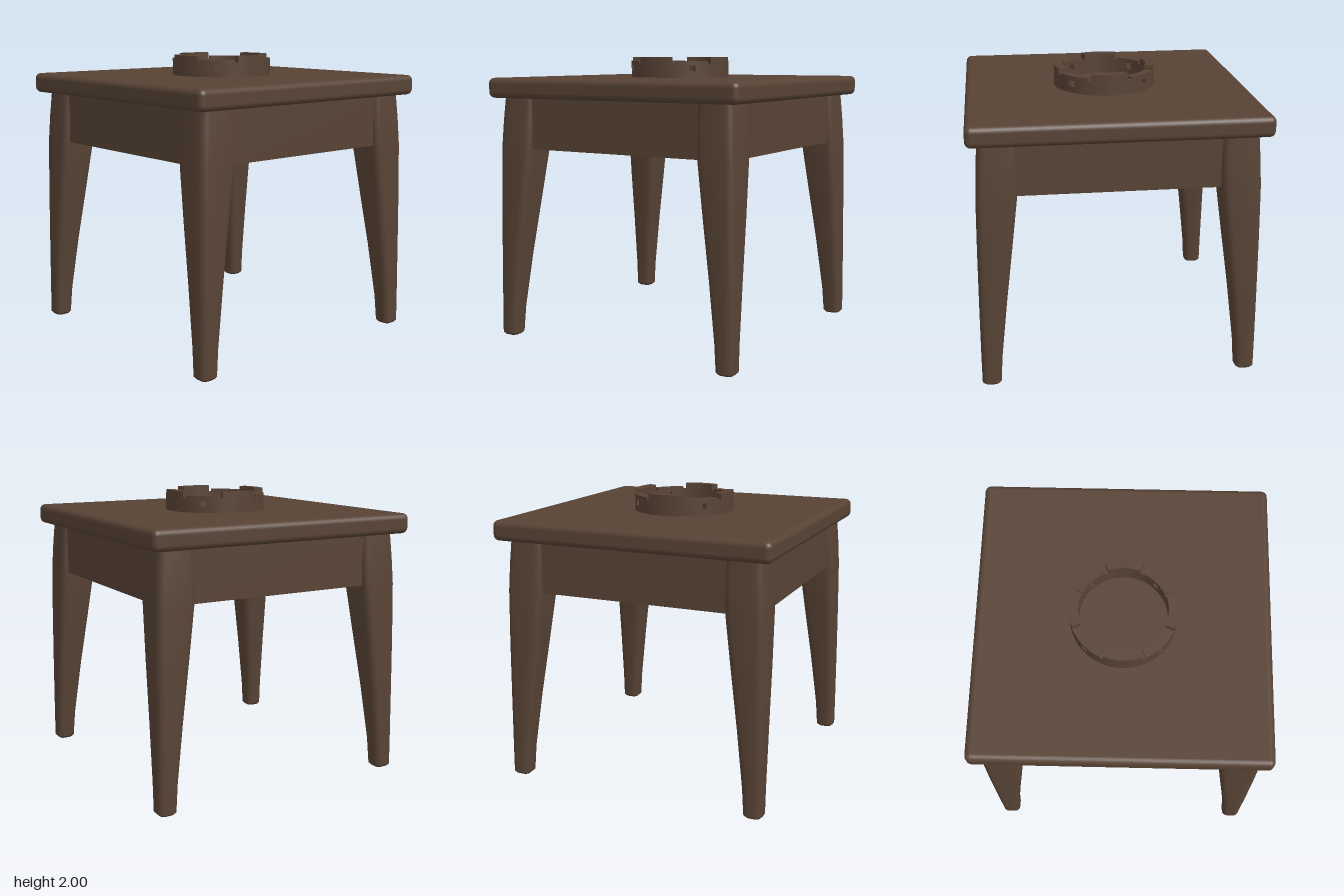
import * as THREE from 'three';
import { toCreasedNormals } from 'three/addons/utils/BufferGeometryUtils.js';
import { RoundedBoxGeometry } from 'three/addons/geometries/RoundedBoxGeometry.js';

const wood = new THREE.MeshStandardMaterial({ color: 0x584335 });
wood.name = 'darkWood';

function addMesh(parent, name, geometry, x = 0, y = 0, z = 0) {
  const mesh = new THREE.Mesh(geometry, wood);
  mesh.name = name;
  mesh.position.set(x, y, z);
  parent.add(mesh);
  return mesh;
}

// Tapered leg lofted from rounded squares: [height, inner edge, outer edge, corner radius]
function legGeometry() {
  const levels = [
    [0, 0.835, 0.935, 0.03], [0.015, 0.82, 0.95, 0.04], [0.2, 0.807, 0.95, 0.045],
    [0.6, 0.762, 0.947, 0.05], [1.0, 0.712, 0.942, 0.05], [1.36, 0.668, 0.935, 0.05],
    [1.55, 0.66, 0.924, 0.05], [1.73, 0.66, 0.91, 0.05],
  ];
  const steps = 4, count = 4 * (steps + 1);
  const positions = [], index = [];
  for (const [y, inner, outer, r] of levels) {
    const mid = (inner + outer) / 2, half = (outer - inner) / 2 - r;
    for (let corner = 0; corner < 4; corner++) {
      const base = corner * Math.PI / 2;
      const sx = Math.sign(Math.cos(base + Math.PI / 4));
      const sz = -Math.sign(Math.sin(base + Math.PI / 4));
      for (let k = 0; k <= steps; k++) {
        const a = base + (k / steps) * Math.PI / 2;
        positions.push(mid + sx * half + r * Math.cos(a), y, mid + sz * half - r * Math.sin(a));
      }
    }
  }
  for (let l = 0; l < levels.length - 1; l++) {
    for (let i = 0; i < count; i++) {
      const j = (i + 1) % count;
      const a = l * count + i, b = l * count + j;
      index.push(a, b, b + count, a, b + count, a + count);
    }
  }
  // Sole
  for (let i = 1; i < count - 1; i++) index.push(0, i + 1, i);
  const geometry = new THREE.BufferGeometry();
  geometry.setAttribute('position', new THREE.Float32BufferAttribute(positions, 3));
  geometry.setIndex(index);
  return toCreasedNormals(geometry, 0.6);
}

// Curved block of the ring between two angles (degrees) and two heights
function arcBlock(from, to, bottom, top, inner = 0.295, outer = 0.355) {
  const a = THREE.MathUtils.degToRad(from), b = THREE.MathUtils.degToRad(to);
  const shape = new THREE.Shape();
  shape.absarc(0, 0, outer, a, b, false);
  shape.absarc(0, 0, inner, b, a, true);
  shape.closePath();
  const geometry = new THREE.ExtrudeGeometry(shape, {
    depth: top - bottom, bevelEnabled: false, curveSegments: Math.max(2, Math.ceil((to - from) / 5)),
  });
  geometry.rotateX(-Math.PI / 2);
  geometry.translate(0, bottom, 0);
  return toCreasedNormals(geometry, 0.6);
}

export function createModel() {
  const model = new THREE.Group();
  model.name = 'sideTable';

  // Top
  addMesh(model, 'tableTop', new RoundedBoxGeometry(1.985, 0.14, 1.975, 4, 0.04), 0, 1.785, -0.003);

  // Legs and the aprons between them
  const leg = legGeometry();
  const apron = new THREE.BoxGeometry(1.5, 0.37, 0.09);
  for (let i = 0; i < 4; i++) {
    const side = new THREE.Group();
    side.name = 'legAndApron' + (i + 1);
    side.rotation.y = i * Math.PI / 2;
    addMesh(side, 'leg', leg);
    addMesh(side, 'apron', apron, 0, 1.545, 0.845);
    model.add(side);
  }

  // Notched ring: four quarters, each with a low stretch pierced by a small hole
  const ring = new THREE.Group();
  ring.name = 'notchedRing';
  const blocks = [
    ['ringBase', 0, 90, 1.85, 1.9],
    ['raisedBlock', 0, 21, 1.9, 2],
    ['raisedBlock', 69, 90, 1.9, 2],
    ['notchFloor', 21, 25, 1.9, 1.955],
    ['notchFloor', 65, 69, 1.9, 1.955],
    ['lowWall', 25, 41, 1.9, 1.972],
    ['lowWall', 49, 65, 1.9, 1.972],
    ['holeLintel', 41, 49, 1.94, 1.972],
  ].map(([name, ...size]) => [name, arcBlock(...size)]);
  for (let i = 0; i < 4; i++) {
    for (const [name, geometry] of blocks) {
      addMesh(ring, name, geometry).rotation.y = i * Math.PI / 2;
    }
  }
  model.add(ring);

  return model;
}
